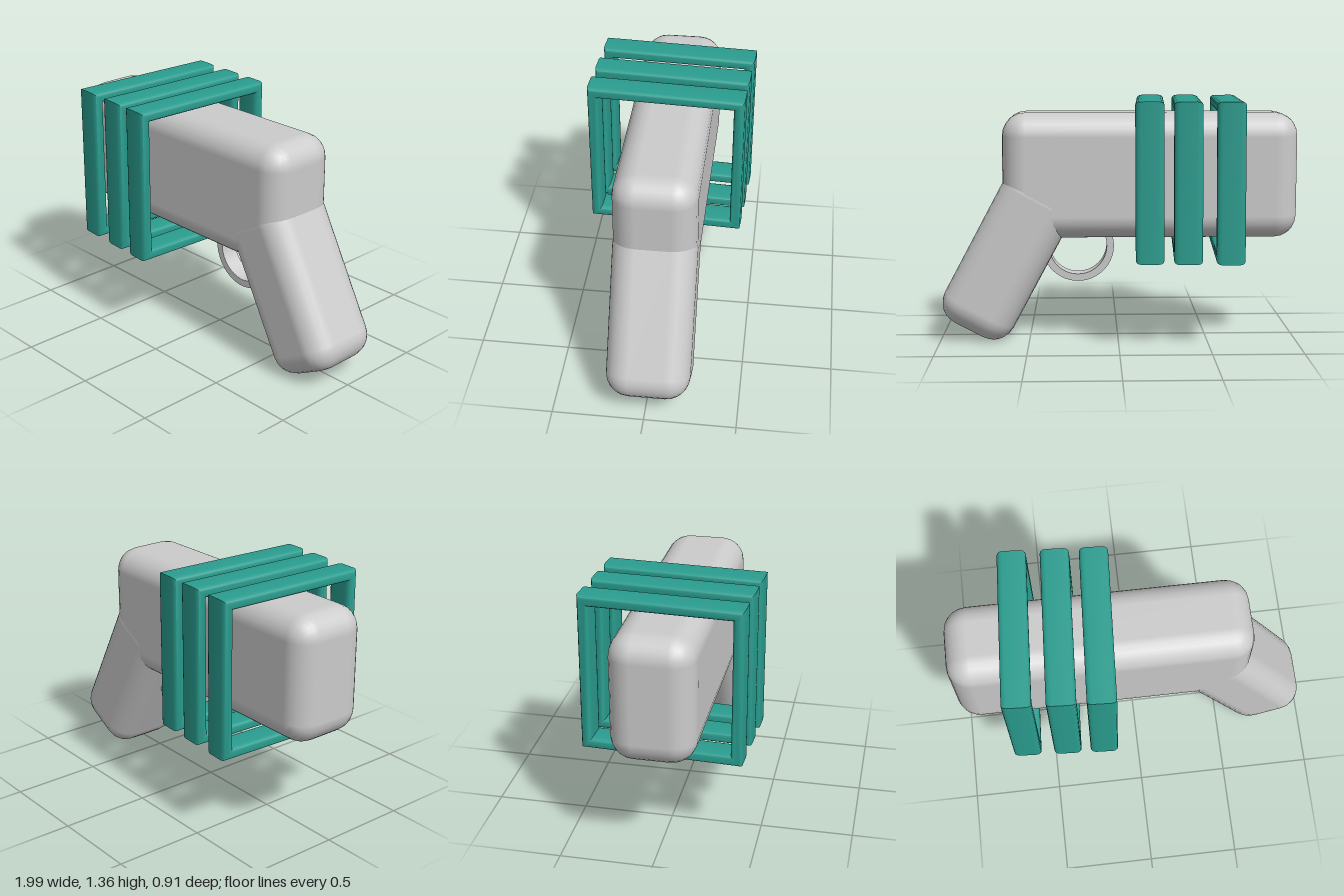
import * as THREE from 'three';
import { RoundedBoxGeometry } from 'three/addons/geometries/RoundedBoxGeometry.js';
import { toCreasedNormals } from 'three/addons/utils/BufferGeometryUtils.js';

const MID_Z = -0.01;

export function createModel() {
  const group = new THREE.Group();
  const grey = new THREE.MeshStandardMaterial({ color: 0xcccccc });
  const teal = new THREE.MeshStandardMaterial({ color: 0x2a9d8f });

  const add = (name, geometry, material, x, y, z) => {
    const mesh = new THREE.Mesh(geometry, material);
    mesh.name = name;
    mesh.position.set(x, y, z);
    group.add(mesh);
    return mesh;
  };

  // Body: a long soft-edged block
  add('body', new RoundedBoxGeometry(1.645, 0.7, 0.452, 3, 0.13), grey, -0.178, 0.94, MID_Z);

  // Handle: slanted block, a hair wider than the body it sinks into
  const handle = add('handle', new RoundedBoxGeometry(0.437, 0.96, 0.457, 3, 0.13), grey, 0.617, 0.489, MID_Z);
  handle.rotation.z = THREE.MathUtils.degToRad(28.2);

  // Trigger guard: flat band bent into an arc, its ends buried in the body and handle
  const start = Math.PI * 0.85, end = Math.PI * 2.15, guardWidth = 0.1;
  const arc = new THREE.Shape();
  arc.absarc(0, 0, 0.203, start, end, false);
  arc.absarc(0, 0, 0.163, end, start, true);
  const guard = new THREE.ExtrudeGeometry(arc, { depth: guardWidth, bevelEnabled: false, curveSegments: 16 });
  guard.translate(0, 0, -guardWidth / 2);
  add('triggerGuard', toCreasedNormals(guard, 0.7), grey, 0.225, 0.535, MID_Z);

  // Bands: square frames with rounded rims, standing clear of the body and slightly turned
  const outer = 0.875, wall = 0.06, bandWidth = 0.155, rim = 0.03, round = 0.018;
  const square = (Path, half) => new Path([[-1, -1], [1, -1], [1, 1], [-1, 1]]
    .map(([x, y]) => new THREE.Vector2(x * half, y * half)));
  const frame = square(THREE.Shape, outer / 2 - round);
  frame.holes.push(square(THREE.Path, outer / 2 - wall + round));
  const depth = bandWidth - 2 * rim;
  const band = new THREE.ExtrudeGeometry(frame, {
    depth, bevelEnabled: true, bevelThickness: rim, bevelSize: round, bevelSegments: 3,
  });
  band.translate(0, 0, -depth / 2);
  band.rotateY(Math.PI / 2);
  const bandGeometry = toCreasedNormals(band, 0.75);
  [[-0.62, -0.017], [-0.392, -0.003], [-0.185, 0.01]].forEach(([x, z], i) => {
    const mesh = add(`band${i + 1}`, bandGeometry, teal, x, 0.927, z);
    mesh.rotation.set(0, -0.052, -0.006);
  });

  return group;
}
